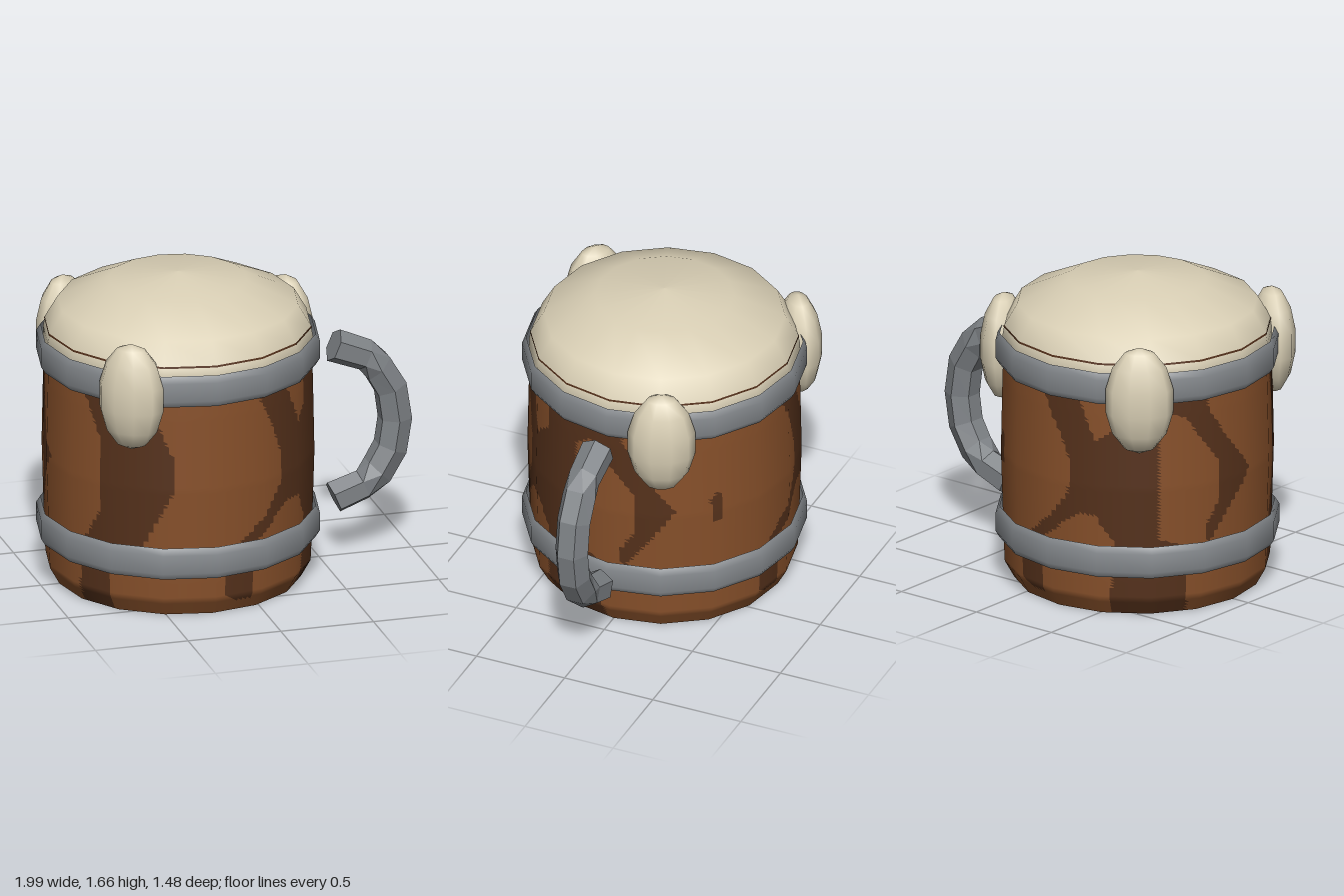
import * as THREE from 'three';

const mat = (name, color, side = THREE.FrontSide) => {
  const m = new THREE.MeshStandardMaterial({ color, side });
  m.name = name;
  return m;
};
const RAD = Math.PI / 180;
const SIDES = 16;

// Dark grain patches on the unrolled barrel, as [degrees from front, height]
const forkGrain = [[20, 1.3], [20, 1.18], [28, 1], [34, 0.82], [33, 0.65], [25, 0.52], [13, 0.4], [4, 0.22], [5, 0.1],
  [11, 0.06], [18, 0.06], [18, 0.36], [38, 0.55], [46, 0.55], [54, 0.4], [52, 0], [87, 0], [84, 0.38], [73, 0.42],
  [73, 1.3], [55, 1.3], [54, 1.02], [46, 0.95], [38, 1.18], [38, 1.3]];
const arrowGrain = [[73, 1.3], [73, 1.05], [79, 1.1], [86, 1.08], [92, 0.95], [101, 0.82], [102, 0.6], [94, 0.46],
  [96, 0.36], [108, 0.55], [119, 0.73], [105, 0.95], [96, 1.12], [94, 1.3]];
const knotGrain = [[135, 0.65], [139, 0.65], [140, 0.78], [137, 0.83], [134, 0.78]];
const leftGrain = [[331, 1.3], [331, 1.18], [342, 0.87], [342, 0.7], [329, 0.4], [312, 0.22], [313, 0], [295, 0],
  [298, 0.35], [308, 0.55], [308, 0.95], [298, 1.2], [298, 1.3]];
const turned = (poly, deg) => poly.map(([a, y]) => [a + deg, y]);
const patches = [forkGrain, arrowGrain, knotGrain, leftGrain, turned(forkGrain, 155), turned(arrowGrain, 155)];

function inside(poly, a, y) {
  let hit = false;
  for (let i = 0, j = poly.length - 1; i < poly.length; j = i++) {
    const [ax, ay] = poly[i], [bx, by] = poly[j];
    if (ay > y !== by > y && a < ((bx - ax) * (y - ay)) / (by - ay) + ax) hit = !hit;
  }
  return hit;
}

// Sixteen-sided barrel wall, finely divided so the grain can be split by face
function barrelGeometry() {
  const profile = [[0.64, 0], [0.69, 0.09], [0.695, 0.2], [0.71, 0.7], [0.702, 1.1], [0.695, 1.3]];
  const points = [];
  for (let i = 0; i < profile.length - 1; i++) {
    const [r0, y0] = profile[i], [r1, y1] = profile[i + 1];
    const n = Math.ceil((y1 - y0) / 0.018);
    for (let k = 0; k < n; k++) points.push(new THREE.Vector2(r0 + ((r1 - r0) * k) / n, y0 + ((y1 - y0) * k) / n));
  }
  points.push(new THREE.Vector2(0.695, 1.3));
  const geo = new THREE.LatheGeometry(points, SIDES * 10);
  const pos = geo.attributes.position;
  const step = (2 * Math.PI) / SIDES;
  for (let i = 0; i < pos.count; i++) {
    const a = Math.atan2(pos.getX(i), pos.getZ(i)) + 2 * Math.PI;
    const off = (a % step) - step / 2;
    const f = Math.cos(step / 2) / Math.cos(off);
    pos.setX(i, pos.getX(i) * f);
    pos.setZ(i, pos.getZ(i) * f);
  }
  const light = [], dark = [], idx = geo.index.array;
  for (let i = 0; i < idx.length; i += 3) {
    const tri = [idx[i], idx[i + 1], idx[i + 2]];
    const mean = (get) => tri.reduce((s, v) => s + get(v), 0) / 3;
    const x = mean((v) => pos.getX(v)), y = mean((v) => pos.getY(v)), z = mean((v) => pos.getZ(v));
    const a = (Math.atan2(x, z) / RAD + 360) % 360;
    (patches.some((p) => inside(p, a, y)) ? dark : light).push(...tri);
  }
  geo.setIndex([...light, ...dark]);
  geo.addGroup(0, light.length, 0);
  geo.addGroup(light.length, dark.length, 1);
  return geo;
}

const lathe = (pts) => new THREE.LatheGeometry(pts.map(([r, y]) => new THREE.Vector2(r, y)), SIDES);

// Six-sided handle: each section is [x, y, tangent degrees, radius, twist degrees]
function handleGeometry() {
  const sections = [[0.58, 1.16, -23, 0.09, 0], [0.75, 1.09, -23, 0.085, 0], [0.815, 1.02, -45, 0.092, 30],
    [0.885, 0.9, -68, 0.092, 30], [0.91, 0.73, -90, 0.092, 30], [0.885, 0.57, -112, 0.092, 30],
    [0.815, 0.45, -135, 0.092, 30], [0.735, 0.375, -157, 0.085, 60], [0.58, 0.32, -157, 0.09, 60]];
  const n = 6, verts = [], index = [];
  for (const [x, y, t, r, twist] of sections) {
    for (let k = 0; k < n; k++) {
      const a = (twist + (k * 360) / n) * RAD;
      const u = r * Math.cos(a);
      verts.push(x - Math.sin(t * RAD) * u, y + Math.cos(t * RAD) * u, r * Math.sin(a));
    }
  }
  const last = (sections.length - 1) * n;
  for (let s = 0; s < last; s += n) {
    for (let k = 0; k < n; k++) {
      const a = s + k, b = s + ((k + 1) % n);
      index.push(a, b, a + n, b, b + n, a + n);
    }
  }
  for (let k = 1; k < n - 1; k++) index.push(0, k + 1, k, last, last + k, last + k + 1);
  const geo = new THREE.BufferGeometry();
  geo.setAttribute('position', new THREE.Float32BufferAttribute(verts, 3));
  geo.setIndex(index);
  const flat = geo.toNonIndexed();
  flat.computeVertexNormals();
  return flat;
}

export function createModel() {
  const wood = mat('wood', 0x87502a);
  const darkWood = mat('darkWood', 0x55311b);
  const foam = mat('foam', 0xd9cfb5);
  const metal = mat('metal', 0x85898d, THREE.DoubleSide);
  const handleMetal = mat('handleMetal', 0x7e8286);
  handleMetal.flatShading = true;

  const model = new THREE.Group();
  model.name = 'mug';
  const body = new THREE.Group();
  body.name = 'body';
  body.position.x = -0.26;
  model.add(body);
  const add = (parent, name, geo, material) => {
    const mesh = new THREE.Mesh(geo, material);
    mesh.name = name;
    parent.add(mesh);
    return mesh;
  };

  // Wooden barrel and its base
  add(body, 'barrel', barrelGeometry(), [wood, darkWood]);
  add(body, 'base', new THREE.CircleGeometry(0.64, SIDES).rotateX(Math.PI / 2), wood).position.y = 0.004;
  const knot = add(body, 'baseKnot', new THREE.CircleGeometry(0.36, 24).rotateX(Math.PI / 2), darkWood);
  knot.position.set(0.2, 0.002, -0.06);
  for (const [x, z, len, deg] of [[-0.22, 0.1, 0.5, 20], [-0.24, -0.14, 0.45, 45], [-0.05, 0.38, 0.4, 50]]) {
    const streak = add(body, 'baseStreak', new THREE.BoxGeometry(len, 0.004, 0.045), darkWood);
    streak.position.set(x, 0.002, z);
    streak.rotation.y = deg * RAD;
  }

  // Two thin metal hoops
  for (const y of [0.22, 1.17]) {
    const hoop = lathe([[0.716, 0], [0.738, 0.035], [0.738, 0.135], [0.716, 0.17]]);
    add(body, 'hoop', hoop, metal).position.y = y;
  }

  // Foam dome with a thin rim line
  add(body, 'foam', lathe([[0.702, 1.24], [0.702, 1.33], [0.692, 1.385], [0.625, 1.5], [0.36, 1.62], [0, 1.66]]), foam);
  add(body, 'rimLine', lathe([[0.697, 1.376], [0.695, 1.386]]), darkWood);

  // Foam drips running over the upper hoop
  for (const [deg, y] of [[-36, 1.22], [113, 1.18], [220, 1.2]]) {
    const a = deg * RAD;
    const drip = add(body, 'foamDrip', new THREE.SphereGeometry(1, 10, 7).scale(0.18, 0.29, 0.12), foam);
    drip.position.set(0.72 * Math.sin(a), y, 0.72 * Math.cos(a));
    drip.rotation.y = a;
  }

  // Faceted handle
  add(model, 'handle', handleGeometry(), handleMetal);
  return model;
}
